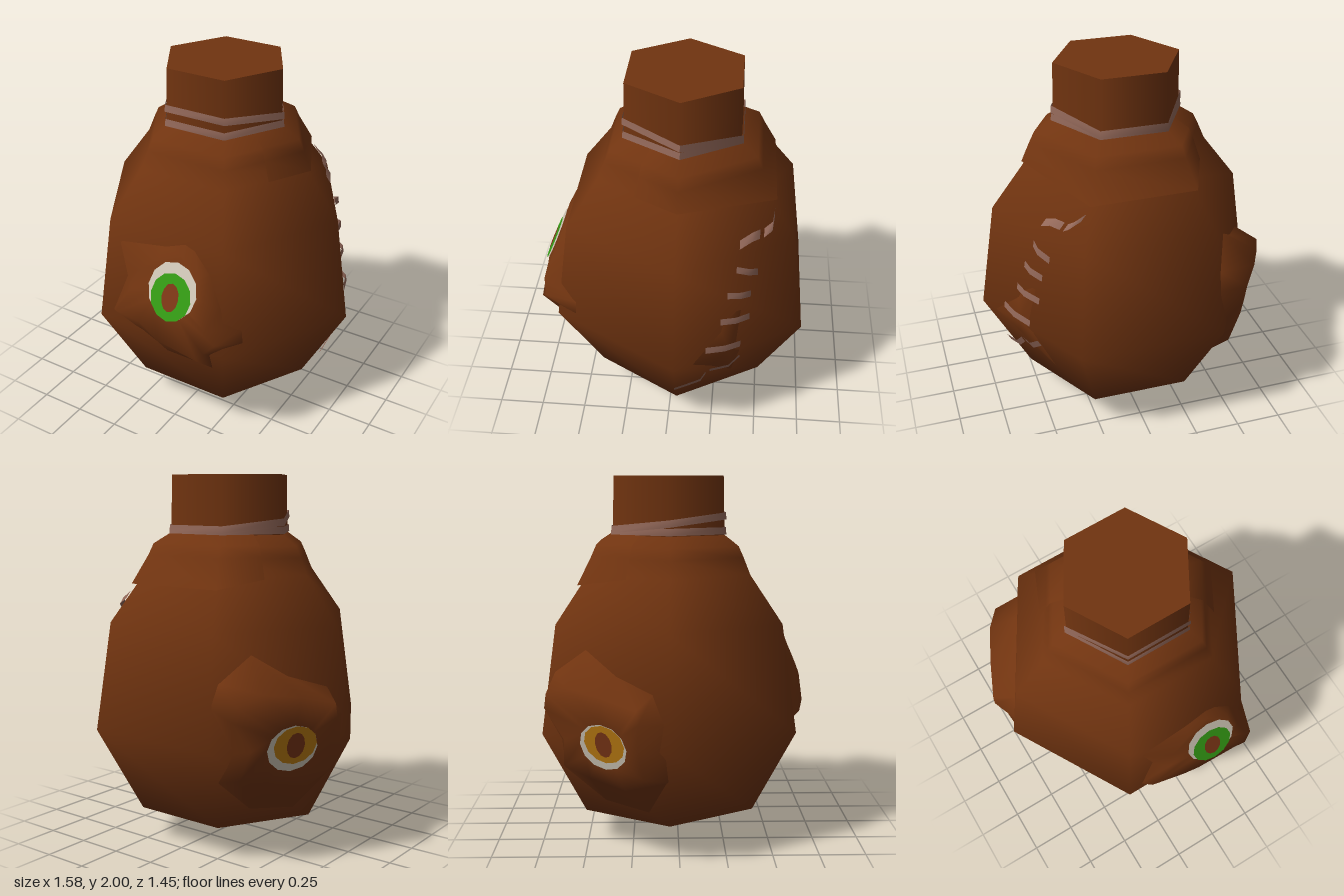
import * as THREE from 'three';

const CX = 0.005, CZ = -0.05, COS30 = Math.sqrt(3) / 2;
// Body profile: [radius, height]
const PROFILE = [[0.001, 0.005], [0.53, 0.18], [0.78, 0.65], [0.69, 1.23], [0.5, 1.48], [0.46, 1.57], [0.43, 1.63], [0.34, 1.69]];

const mat = (name, color, side = THREE.FrontSide) => {
  const m = new THREE.MeshStandardMaterial({ color, side });
  m.name = name;
  return m;
};

// Distance from the axis to the flat of the six-sided body at a height
function apothem(y) {
  for (let i = 1; i < PROFILE.length; i++) {
    const [r0, y0] = PROFILE[i - 1], [r1, y1] = PROFILE[i];
    if (y <= y1) return COS30 * (r0 + (r1 - r0) * (y - y0) / (y1 - y0));
  }
  return COS30 * 0.34;
}
// Body surface distance in a side's own frame, bending round the corners
const surface = (u, y) => Math.min(apothem(y), 2 * apothem(y) - 2 * COS30 * Math.abs(u));

// Frame of one body side: u runs to the right seen from outside, w runs outward
function sideFrame(degrees) {
  const a = degrees * Math.PI / 180, nx = Math.cos(a), nz = Math.sin(a);
  return (u, y, w) => [CX + nx * w + nz * u, y, CZ + nz * w - nx * u];
}

function build(points, index) {
  const g = new THREE.BufferGeometry();
  g.setAttribute('position', new THREE.Float32BufferAttribute(points.flat(), 3));
  g.setIndex(index);
  g.computeVertexNormals();
  return g;
}

export function createModel() {
  const root = new THREE.Group();
  root.name = 'stitchedPouch';
  const hide = mat('brown hide', 0x713410, THREE.DoubleSide);
  const cord = mat('pale cord', 0x94695a, THREE.DoubleSide);
  const white = mat('eye white', 0xcfc6b6);
  const green = mat('green iris', 0x349a14);
  const yellow = mat('amber iris', 0xbd7d12);
  const pupilMat = mat('russet pupil', 0x7c3616);
  const add = (name, geometry, material, parent = root) => {
    const m = new THREE.Mesh(geometry, material);
    m.name = name;
    parent.add(m);
    return m;
  };

  // Six-sided bag and neck
  const profile = PROFILE.map(([r, y]) => new THREE.Vector2(r, y));
  add('body', new THREE.LatheGeometry(profile, 6, Math.PI / 2), hide).position.set(CX, 0, CZ);
  const neck = new THREE.CylinderGeometry(0.337, 0.345, 0.33, 6, 1, false, Math.PI / 2);
  add('neck', neck, hide).position.set(CX, 1.835, CZ);

  // Cords tied round the neck, the upper one slanting down to the back
  [[1.71, 0], [1.753, 0.07]].forEach(([y, slant], i) => {
    const g = new THREE.CylinderGeometry(0.352, 0.356, 0.038, 6, 1, true, Math.PI / 2);
    const p = g.attributes.position;
    for (let k = 0; k < p.count; k++) p.setY(k, p.getY(k) + slant * p.getZ(k) / 0.6);
    g.computeVertexNormals();
    add(i ? 'upperCord' : 'lowerCord', g, cord).position.set(CX, y, CZ);
  });

  // Fold of hide over the right and rear shoulder: [angle, bottom height, bottom radius]
  const foldPoints = [], foldIndex = [];
  [[30, 1.48, 0.455], [0, 1.48, 0.52], [-60, 1.43, 0.57], [-120, 1.43, 0.56], [-150, 1.47, 0.45]].forEach(([deg, y, r], i) => {
    const a = deg * Math.PI / 180, k = deg % 60 ? COS30 : 1;
    [[r, y], [0.475 * k, 1.58], [0.445 * k, 1.64], [0.34 * k, 1.7]].forEach(([q, h]) =>
      foldPoints.push([CX + Math.cos(a) * q, h, CZ + Math.sin(a) * q]));
    if (i) for (let j = 0; j < 3; j++) {
      const p = (i - 1) * 4 + j, n = i * 4 + j;
      foldIndex.push(p, p + 1, n, n, p + 1, n + 1);
    }
  });
  foldIndex.reverse();
  for (let i = 0; i < foldIndex.length; i += 3) [foldIndex[i], foldIndex[i + 2]] = [foldIndex[i + 2], foldIndex[i]];
  add('shoulderFold', build(foldPoints, foldIndex), hide);

  // Ragged eyelid with a flat eye; rows are outline u, y then ridge u, y, w
  function eye(name, degrees, e, rows, irisMat) {
    const group = new THREE.Group();
    group.name = name;
    root.add(group);
    const at = sideFrame(degrees), n = rows.length;
    const plane = (y) => e.w + e.tilt * (y - e.y);
    const rings = [[], [], []], index = [];
    rows.forEach(([ou, oy, ru, ry, rw], i) => {
      const a = Math.atan2((ry - e.y) / e.ry, (ru - e.u) / e.rx), j = (i + 1) % n;
      const y = e.y + e.ry * 0.98 * Math.sin(a);
      rings[0].push(at(ou, oy, surface(ou, oy) - 0.005));
      rings[1].push(at(ru, ry, rw));
      rings[2].push(at(e.u + e.rx * 0.98 * Math.cos(a), y, plane(y)));
      for (const k of [0, n]) index.push(k + i, k + j, k + n + i, k + j, k + n + j, k + n + i);
      index.push(2 * n + i, 2 * n + j, 3 * n);
    });
    add('eyelid', build([...rings.flat(), at(e.u, e.y, e.w)], index), hide, group);

    // Flat plates for white, iris and pupil
    const plate = (part, u, y, rx, ry, lift, material) => {
      const g = new THREE.CircleGeometry(1, 12), p = g.attributes.position;
      for (let k = 0; k < p.count; k++) {
        const py = y + ry * p.getY(k);
        p.setXYZ(k, ...at(u + rx * p.getX(k), py, plane(py) + lift));
      }
      g.computeVertexNormals();
      add(part, g, material, group);
    };
    const iu = e.u + e.du, iy = e.y + e.dy;
    plate('white', e.u, e.y, e.rx, e.ry, 0.006, white);
    plate('iris', iu, iy, e.ix, e.iy, 0.011, irisMat);
    plate('pupil', iu, iy, 0.05, 0.07, 0.016, pupilMat);
  }

  eye('frontEye', 90, { u: 0.11, y: 0.995, w: 0.7, tilt: -0.42, rx: 0.145, ry: 0.14, du: 0, dy: -0.03, ix: 0.12, iy: 0.118 }, [
    [0.44, 0.78, 0.33, 0.85, 0.75], [0.36, 0.93, 0.29, 0.98, 0.7], [0.28, 1.1, 0.24, 1.1, 0.655],
    [0.13, 1.29, 0.12, 1.17, 0.63], [0.0, 1.18, -0.01, 1.12, 0.65], [-0.29, 1.13, -0.12, 1.03, 0.675],
    [-0.23, 0.93, -0.15, 0.92, 0.7], [-0.31, 0.71, -0.26, 0.74, 0.71], [-0.13, 0.64, -0.08, 0.76, 0.75],
    [0.0, 0.5, 0.03, 0.68, 0.75], [0.29, 0.5, 0.28, 0.64, 0.75], [0.31, 0.64, 0.33, 0.72, 0.77],
    [0.45, 0.7, 0.38, 0.77, 0.74]], green);

  eye('rearLeftEye', 210, { u: 0.03, y: 0.65, w: 0.725, tilt: 0.22, rx: 0.14, ry: 0.125, du: 0.012, dy: 0.018, ix: 0.12, iy: 0.103 }, [
    [0.36, 0.615, 0.24, 0.66, 0.74], [0.35, 0.78, 0.26, 0.8, 0.77], [0.27, 0.93, 0.25, 0.87, 0.77],
    [0.05, 1.0, 0.05, 0.92, 0.785], [-0.147, 1.12, -0.15, 0.95, 0.79], [-0.33, 0.99, -0.29, 0.9, 0.77],
    [-0.4, 0.89, -0.31, 0.82, 0.76], [-0.27, 0.64, -0.2, 0.66, 0.74], [-0.37, 0.45, -0.24, 0.5, 0.69],
    [-0.1, 0.27, -0.08, 0.46, 0.69], [0.157, 0.24, 0.13, 0.42, 0.68], [0.35, 0.47, 0.25, 0.5, 0.7]], yellow);

  // Seam on the rear left side, placed by [z, y] and lift above the hide
  const seamSide = sideFrame(-30);
  const onSeam = (z, y, lift) => {
    const w = apothem(y);
    return seamSide(-(z - CZ + 0.5 * w) / COS30, y, w + lift);
  };
  const scar = [[-0.15, 0.65], [-0.24, 0.53], [-0.35, 0.34], [-0.39, 0.62], [-0.48, 1.3], [-0.42, 1.3], [-0.29, 0.8]];
  add('scar', build([onSeam(-0.33, 0.68, 0.018), ...scar.map(([z, y]) => onSeam(z, y, 0.003))],
    scar.flatMap((_, i) => [0, i + 1, (i + 1) % scar.length + 1])), hide);

  // Stitches: short raised ribbons across the seam
  const stitches = [
    [[-0.04, 0.36], [-0.1, 0.42], [-0.17, 0.42], [-0.21, 0.46]],
    [[-0.23, 0.48], [-0.32, 0.5], [-0.39, 0.55]],
    [[-0.21, 0.72], [-0.3, 0.715], [-0.39, 0.69]],
    [[-0.28, 0.87], [-0.35, 0.87], [-0.43, 0.85]],
    [[-0.31, 1.02], [-0.37, 1.015], [-0.43, 0.99]],
    [[-0.35, 1.16], [-0.4, 1.145], [-0.46, 1.11]],
    [[-0.36, 1.28], [-0.41, 1.31], [-0.46, 1.3]],
    [[-0.48, 1.3], [-0.51, 1.33], [-0.53, 1.37]]];
  stitches.forEach((line, s) => {
    const points = [], index = [];
    line.forEach(([z, y], i) => {
      const lift = i === 0 || i === line.length - 1 ? 0.012 : 0.035;
      points.push(onSeam(z, y + 0.019, lift), onSeam(z, y - 0.019, lift));
      if (i) index.push(2 * i - 2, 2 * i - 1, 2 * i, 2 * i, 2 * i - 1, 2 * i + 1);
    });
    add('stitch' + (s + 1), build(points, index), cord);
  });
  return root;
}
